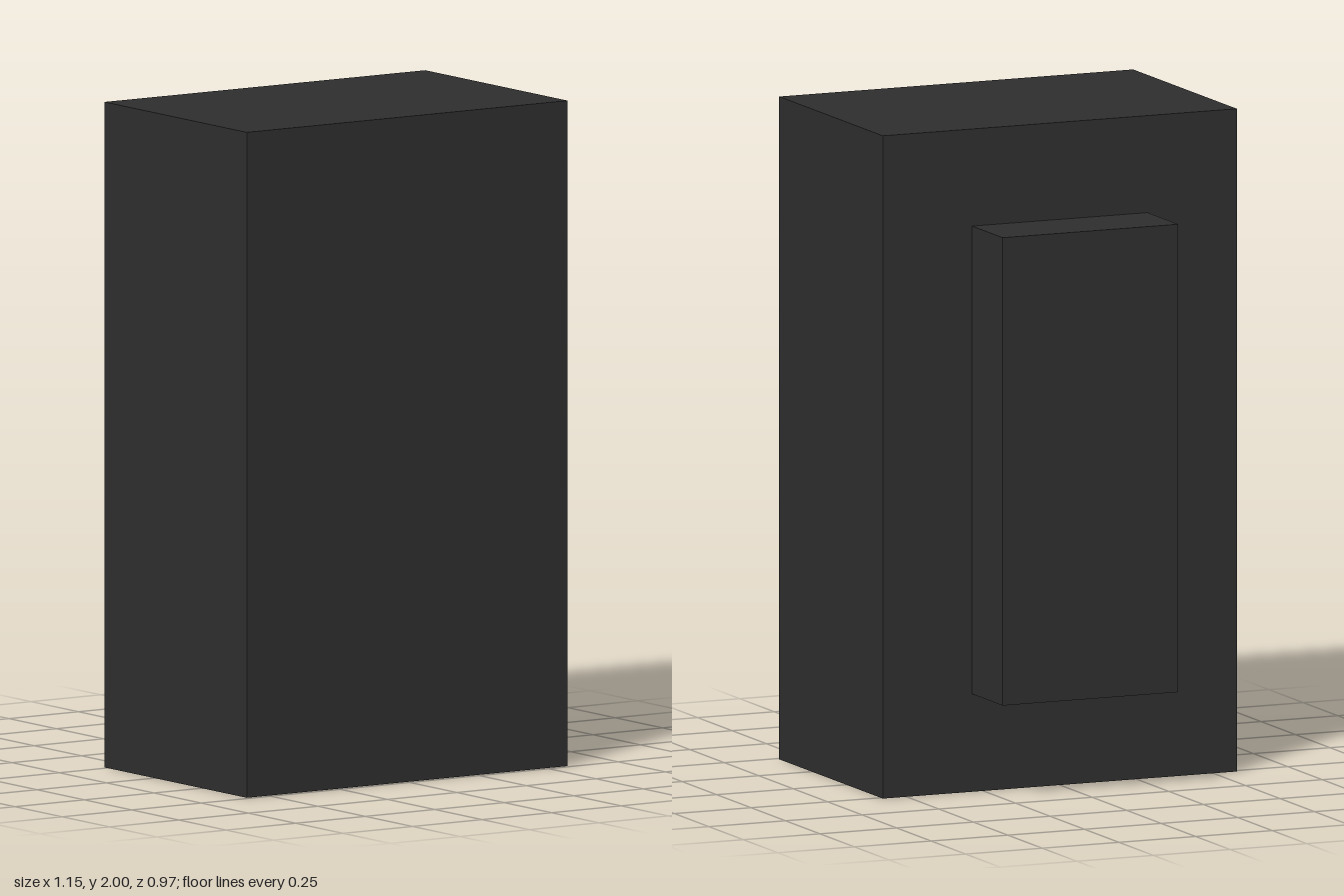
import * as THREE from 'three';

export function createModel() {
  const group = new THREE.Group();
  const material = new THREE.MeshStandardMaterial({ color: 0x2e2e2e, flatShading: true });

  // Box given by its size and its bottom and back limits, centred on x
  function addBox(name, width, bottom, top, back, front) {
    const mesh = new THREE.Mesh(new THREE.BoxGeometry(width, top - bottom, front - back), material);
    mesh.name = name;
    mesh.position.set(0, (bottom + top) / 2, (back + front) / 2);
    group.add(mesh);
  }

  // Tall main cabinet
  addBox('body', 1.154, 0, 2, -0.265, 0.487);

  // Raised housing on the back face
  addBox('backHousing', 0.572, 0.295, 1.707, -0.487, -0.265);

  return group;
}
